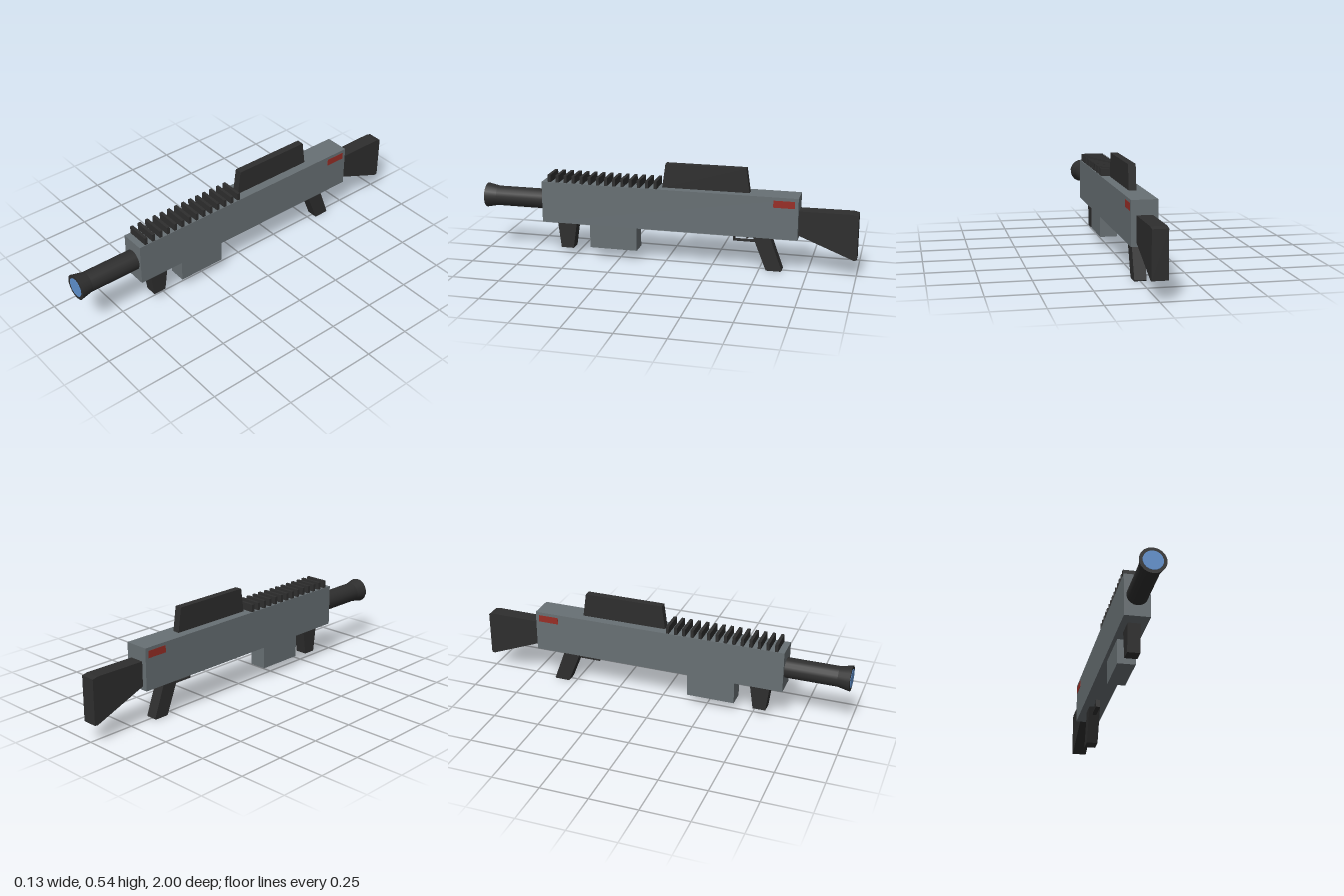
import * as THREE from 'three';

const mat = (name, color) => {
  const m = new THREE.MeshStandardMaterial({ color });
  m.name = name;
  return m;
};

export function createModel() {
  const grey = mat('body grey', 0x687074);
  const dark = mat('dark grey', 0x2e2e2e);
  const blue = mat('lens blue', 0x6092d0);
  const red = mat('marking red', 0x982e26);
  const model = new THREE.Group();
  model.name = 'toyBlaster';

  const add = (name, geometry, material) => {
    const mesh = new THREE.Mesh(geometry, material);
    mesh.name = name;
    model.add(mesh);
    return mesh;
  };
  // Box given by its limits
  const box = (name, material, x0, x1, y0, y1, z0, z1) =>
    add(name, new THREE.BoxGeometry(x1 - x0, y1 - y0, z1 - z0), material)
      .position.set((x0 + x1) / 2, (y0 + y1) / 2, (z0 + z1) / 2);
  // Side outline in [z, y], extruded across x
  const slab = (name, material, width, outline) => {
    const shape = new THREE.Shape(outline.map(([z, y]) => new THREE.Vector2(z, y)));
    const g = new THREE.ExtrudeGeometry(shape, { depth: width, bevelEnabled: false });
    g.translate(0, 0, -width / 2).rotateY(-Math.PI / 2);
    add(name, g, material);
  };
  // Round section along z
  const tube = (name, material, rBack, rFront, z0, z1) => {
    const g = new THREE.CylinderGeometry(rFront, rBack, z1 - z0, 18);
    g.rotateX(Math.PI / 2).translate(0, 0.297, (z0 + z1) / 2);
    add(name, g, material);
  };

  // Body and magazine
  box('body', grey, -0.065, 0.065, 0.187, 0.408, -0.7, 0.665);
  box('magazine', grey, -0.046, 0.046, 0.057, 0.187, 0.15, 0.407);

  // Barrel with flared muzzle and lens
  tube('barrel', dark, 0.053, 0.053, 0.66, 0.935);
  tube('muzzle', dark, 0.053, 0.066, 0.935, 0.998);
  tube('lens', blue, 0.049, 0.049, 0.994, 1);

  // Rail teeth
  for (let i = 0; i < 14; i++) {
    const z = 0.623 - i * 0.0444;
    box('railTooth', dark, -0.062, 0.062, 0.408, 0.448, z - 0.008, z + 0.008);
  }

  // Top fin, stock and grips
  slab('topFin', dark, 0.038, [[0.018, 0.405], [0, 0.535], [-0.424, 0.535], [-0.443, 0.405]]);
  slab('stock', dark, 0.078, [[-0.69, 0.335], [-0.97, 0.337], [-1, 0.33], [-1, 0.097],
    [-0.983, 0.095], [-0.7, 0.207], [-0.69, 0.207]]);
  slab('rearGrip', dark, 0.06, [[-0.46, 0.195], [-0.55, 0.195], [-0.62, 0.005], [-0.615, 0], [-0.538, 0]]);
  slab('frontGrip', dark, 0.064, [[0.592, 0.19], [0.574, 0.04], [0.506, 0.04], [0.484, 0.19]]);

  // Trigger and guard
  box('guardFront', dark, -0.012, 0.012, 0.147, 0.19, -0.368, -0.36);
  box('guardBottom', dark, -0.012, 0.012, 0.145, 0.152, -0.48, -0.36);
  slab('trigger', dark, 0.014, [[-0.418, 0.19], [-0.43, 0.19], [-0.438, 0.16], [-0.43, 0.16]]);

  // Side markings
  for (const s of [-1, 1]) {
    const x = s * 0.0645;
    box('sideMarking', red, x - 0.002, x + 0.002, 0.354, 0.391, -0.682, -0.572);
  }
  return model;
}
